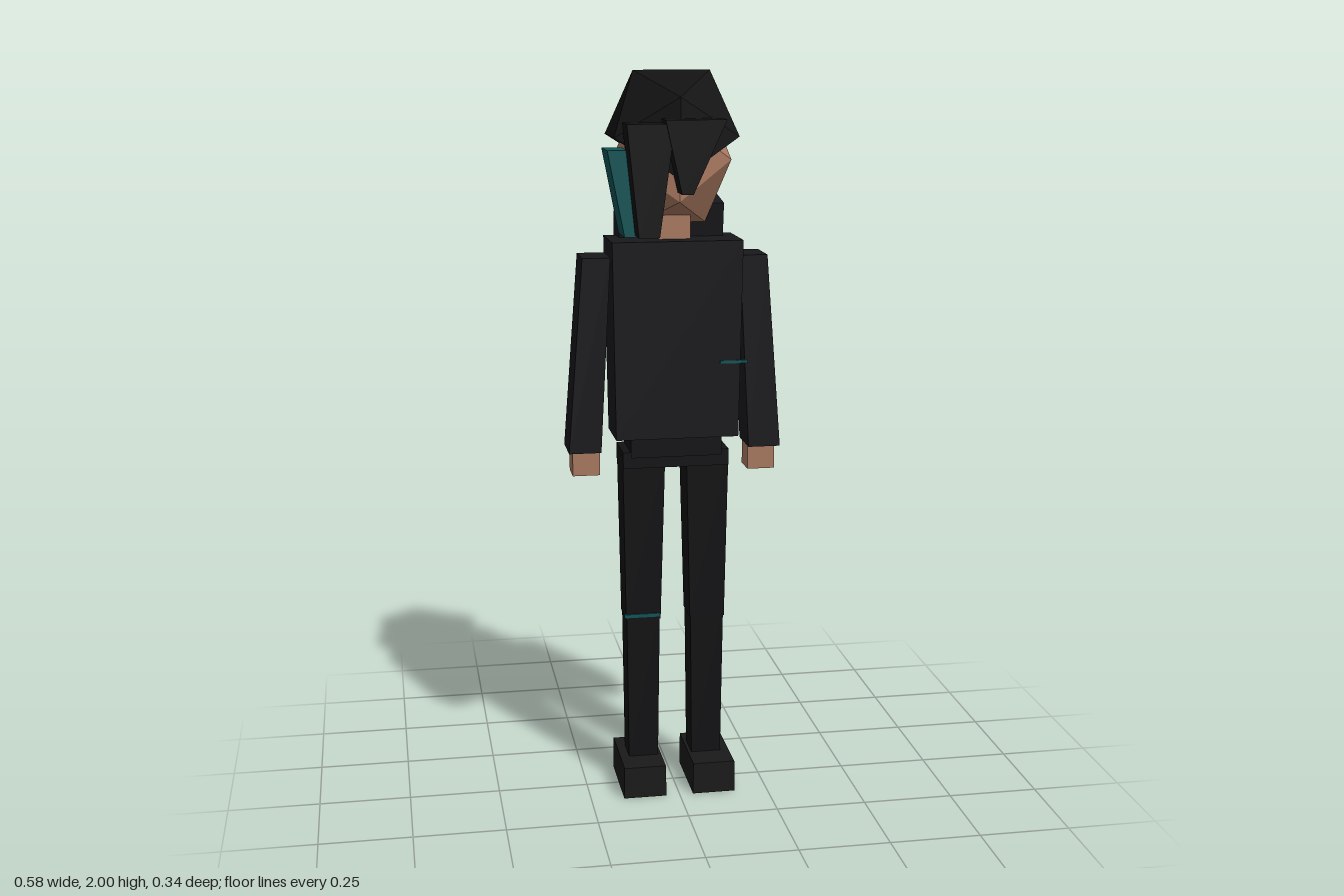
import * as THREE from 'three';

const mat = (color) => new THREE.MeshStandardMaterial({ color, flatShading: true });
const skin = mat(0xa87860), hairMat = mat(0x111112), jacket = mat(0x18181c);
const trousers = mat(0x121214), shoe = mat(0x1a1a1a), teal = mat(0x0f5356);

// Box running from y0 to y1 whose bottom and top have their own width, depth and centre
function block(name, material, y0, y1, bottom, top) {
  const geo = new THREE.BoxGeometry(1, 1, 1);
  const p = geo.attributes.position;
  for (let i = 0; i < p.count; i++) {
    const up = p.getY(i) > 0;
    const [cx, cz, w, d] = up ? top : bottom;
    p.setXYZ(i, cx + p.getX(i) * w, up ? y1 : y0, cz + p.getZ(i) * d);
  }
  geo.computeVertexNormals();
  const mesh = new THREE.Mesh(geo, material);
  mesh.name = name;
  return mesh;
}

// Stretched icosahedron; vertices below minY are lifted to it
function facetedBall(name, material, center, radii, minY = -Infinity) {
  const geo = new THREE.IcosahedronGeometry(1, 0);
  geo.scale(...radii).translate(...center);
  const p = geo.attributes.position;
  for (let i = 0; i < p.count; i++) if (p.getY(i) < minY) p.setY(i, 1.79);
  geo.computeVertexNormals();
  const mesh = new THREE.Mesh(geo, material);
  mesh.name = name;
  return mesh;
}

export function createModel() {
  const model = new THREE.Group();
  model.name = 'figure';

  // Head and hair
  model.add(
    facetedBall('head', skin, [0, 1.77, -0.02], [0.172, 0.2, 0.145]),
    facetedBall('hair', hairMat, [0, 1.83, -0.027], [0.196, 0.2, 0.17], 1.7),
    block('neck', skin, 1.54, 1.66, [0, -0.02, 0.085, 0.09], [0, -0.02, 0.085, 0.09]),
    block('longFringe', hairMat, 1.58, 1.87, [-0.09, 0.125, 0.055, 0.08], [-0.085, 0.122, 0.125, 0.085]),
    block('shortFringe', hairMat, 1.69, 1.88, [0.01, 0.128, 0.03, 0.08], [0.032, 0.128, 0.16, 0.085]),
    block('sideLock', teal, 1.575, 1.8, [-0.115, 0.04, 0.06, 0.115], [-0.158, 0.04, 0.062, 0.115])
  );

  // Torso, collar and hips
  const collar = new THREE.Mesh(new THREE.BoxGeometry(0.284, 0.13, 0.105), jacket);
  collar.name = 'collar';
  collar.position.set(0, 1.593, -0.078);
  collar.rotation.x = 0.15;
  model.add(
    collar,
    block('torso', jacket, 1.025, 1.56, [0, -0.004, 0.335, 0.155], [0, -0.006, 0.352, 0.175]),
    block('waist', trousers, 0.97, 1.04, [0, -0.01, 0.25, 0.13], [0, -0.01, 0.25, 0.13]),
    block('hips', trousers, 0.94, 0.985, [0, -0.015, 0.292, 0.13], [0, -0.015, 0.292, 0.13])
  );

  // Limbs, mirrored
  for (const [side, s] of [['left', 1], ['right', -1]]) {
    model.add(
      block(side + 'Arm', jacket, 0.985, 1.515, [s * 0.248, -0.02, 0.088, 0.12], [s * 0.213, -0.02, 0.075, 0.12]),
      block(side + 'Hand', skin, 0.918, 0.99, [s * 0.243, -0.017, 0.075, 0.075], [s * 0.243, -0.017, 0.075, 0.075]),
      block(side + 'Thigh', trousers, 0.5, 0.97, [s * 0.09, -0.013, 0.097, 0.098], [s * 0.088, -0.013, 0.117, 0.115]),
      block(side + 'Shin', trousers, 0.08, 0.52, [s * 0.09, -0.015, 0.083, 0.086], [s * 0.09, -0.013, 0.093, 0.094]),
      block(side + 'Shoe', shoe, 0, 0.09, [s * 0.098, 0, 0.12, 0.222], [s * 0.098, 0, 0.117, 0.222])
    );
  }

  // Thin accent stripes
  model.add(
    block('torsoStripe', teal, 1.228, 1.236, [0.153, 0.072, 0.075, 0.012], [0.153, 0.072, 0.075, 0.012]),
    block('legStripe', teal, 0.508, 0.518, [-0.095, 0.036, 0.098, 0.008], [-0.095, 0.036, 0.098, 0.008])
  );
  return model;
}
